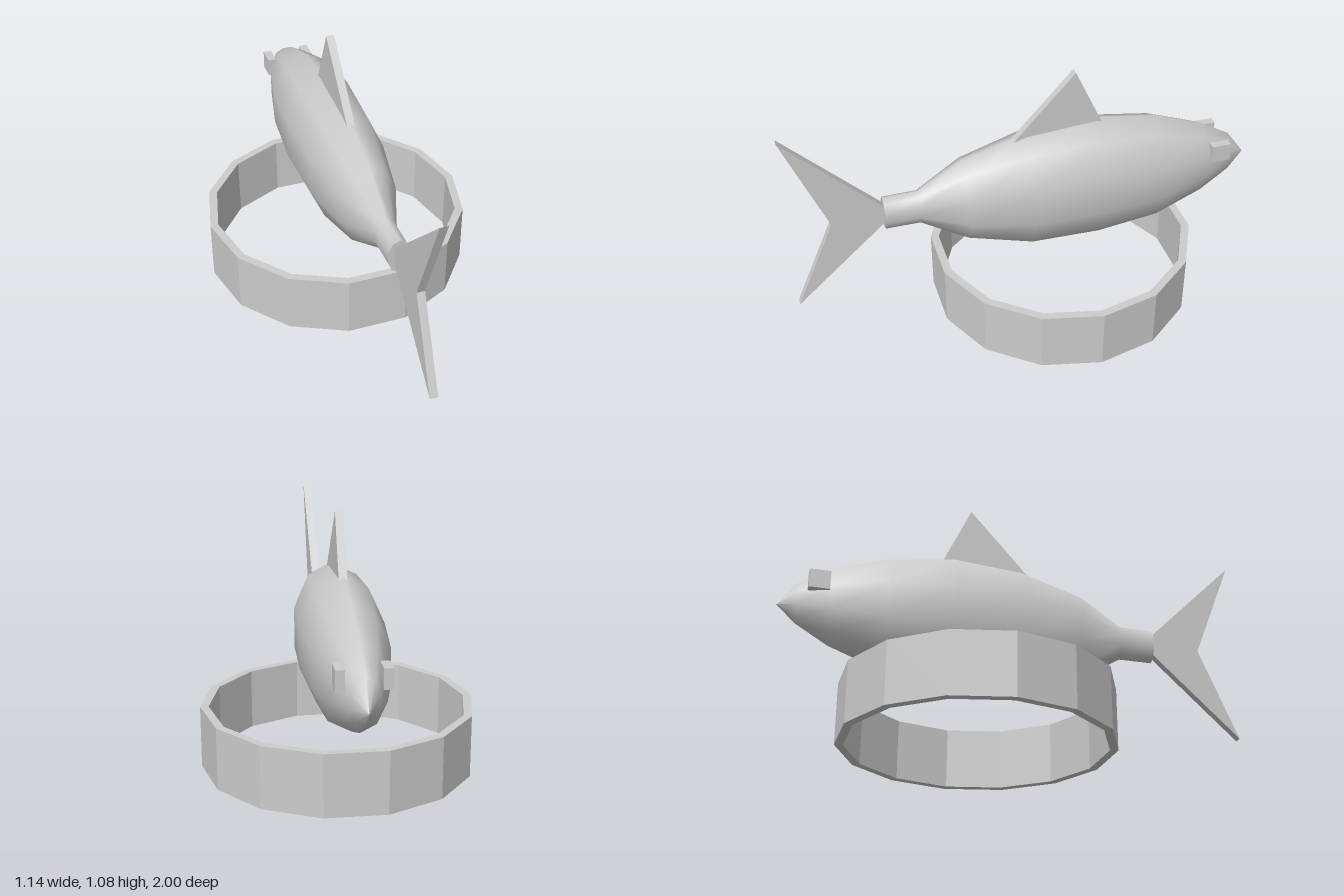
import * as THREE from 'three';

const grey = new THREE.MeshStandardMaterial({ color: 0xcccccc });
grey.name = 'grey';

function part(name, geometry, parent) {
  const mesh = new THREE.Mesh(geometry, grey);
  mesh.name = name;
  parent.add(mesh);
  return mesh;
}

// Flat fin from [z, y] points, centred on x = 0
function finGeometry(points, thickness = 0.034) {
  const shape = new THREE.Shape(points.map(([z, y]) => new THREE.Vector2(z, y)));
  const geometry = new THREE.ExtrudeGeometry(shape, { depth: thickness, bevelEnabled: false });
  return geometry.translate(0, 0, -thickness / 2).rotateY(-Math.PI / 2);
}

function polygon(radius, sides) {
  return Array.from({ length: sides }, (_, i) => {
    const a = (i / sides) * Math.PI * 2;
    return new THREE.Vector2(radius * Math.cos(a), radius * Math.sin(a));
  });
}

export function createModel() {
  const model = new THREE.Group();
  model.name = 'fishOnRing';

  // Ten-sided oval body, nose at -z: [half height, z]
  const WIDTH = 0.624, AXIS = 0.54;
  const profile = [[0, -1], [0.092, -0.92], [0.172, -0.785], [0.252, -0.57], [0.288, -0.297],
    [0.274, 0], [0.196, 0.27], [0.078, 0.465], [0.077, 0.612]];
  const body = new THREE.LatheGeometry(profile.map(([r, z]) => new THREE.Vector2(r, z)), 10);
  body.rotateX(Math.PI / 2).scale(WIDTH, 1, 1).translate(0, AXIS, 0);
  const pos = body.attributes.position;
  for (let i = 0; i < pos.count; i++) {
    if (pos.getZ(i) < -0.95) pos.setY(i, 0.523); // slightly lowered nose
    else if (Math.abs(pos.getZ(i) + 0.297) < 0.01) pos.setY(i, pos.getY(i) + 0.007);
  }
  part('body', body, model);

  // Flat end of the tail stem
  const cap = new THREE.CircleGeometry(0.077, 10, Math.PI / 2);
  part('tailStemEnd', cap.scale(WIDTH, 1, 1).translate(0, AXIS, 0.612), model);

  // Fins
  part('tailFin', finGeometry([[0.568, 0.54], [1, 0.15], [0.83, 0.54], [1, 0.97]]), model);
  part('dorsalFin', finGeometry([[0.12, 0.72], [-0.205, 1.075], [-0.37, 0.72]]), model);

  // Block eyes
  for (const [name, side] of [['leftEye', 1], ['rightEye', -1]]) {
    part(name, new THREE.BoxGeometry(0.036, 0.08, 0.085), model)
      .position.set(side * 0.087, 0.609, -0.845);
  }

  // Fourteen-sided ring stand
  const ring = new THREE.Shape(polygon(0.57, 14));
  ring.holes.push(new THREE.Path(polygon(0.535, 14).reverse()));
  const stand = new THREE.ExtrudeGeometry(ring, { depth: 0.262, bevelEnabled: false });
  part('ringStand', stand.rotateX(-Math.PI / 2).translate(0, 0, -0.16), model);

  return model;
}
